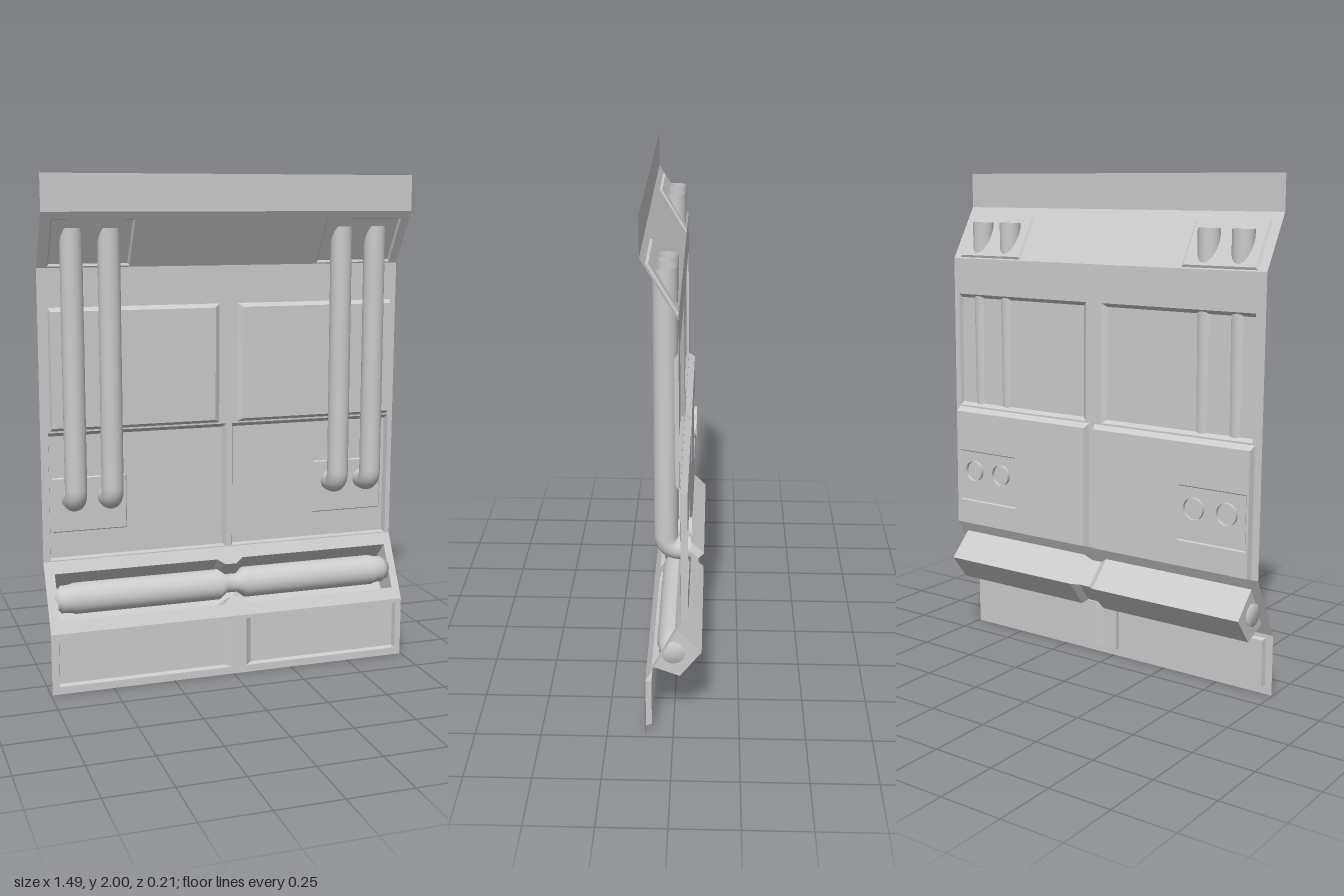
import * as THREE from 'three';

const sheetMat = new THREE.MeshStandardMaterial({ color: 0xcccccc, side: THREE.DoubleSide, flatShading: true });
const roundMat = new THREE.MeshStandardMaterial({ color: 0xcccccc, side: THREE.DoubleSide });

function add(parent, name, geometry, material = sheetMat) {
  const mesh = new THREE.Mesh(geometry, material);
  mesh.name = name;
  parent.add(mesh);
  return mesh;
}

// rectangle [x0, x1, y0, y1] as a corner loop
const corners = ([x0, x1, y0, y1]) => [[x0, y0], [x1, y0], [x1, y1], [x0, y1]];
const toPoints = (loop) => loop.map(([x, y]) => new THREE.Vector2(x, y));

// flat plate with polygonal holes
function plate(loop, holes = [], z = 0) {
  const shape = new THREE.Shape(toPoints(loop));
  holes.forEach((h) => shape.holes.push(new THREE.Path(toPoints(h))));
  return new THREE.ShapeGeometry(shape).translate(0, 0, z);
}

// skin between successive rows of 3D points
function loft(rows, closed) {
  const out = [];
  for (let i = 0; i + 1 < rows.length; i++) {
    const a = rows[i], b = rows[i + 1], n = a.length;
    for (let j = 0; j < (closed ? n : n - 1); j++) {
      const k = (j + 1) % n;
      out.push(...a[j], ...a[k], ...b[k], ...a[j], ...b[k], ...b[j]);
    }
  }
  const g = new THREE.BufferGeometry();
  g.setAttribute('position', new THREE.Float32BufferAttribute(out, 3));
  g.computeVertexNormals();
  return g;
}

// pressed panel: bevelled rim from rect at z0 to inner rect at z1, plus its floor
function pressed(parent, name, rect, inner, z0, z1, holes = []) {
  const group = new THREE.Group();
  group.name = name;
  const row = (r, z) => corners(r).map(([x, y]) => [x, y, z]);
  add(group, name + 'Rim', loft([row(rect, z0), row(inner, z1)], true));
  add(group, name + 'Floor', plate(corners(inner), holes, z1));
  parent.add(group);
}

// strip of the folded sheet from [y, z] to [y, z]; local y runs along it, local z faces forward
function strip(root, name, [y0, z0], [y1, z1], holes = []) {
  const group = new THREE.Group();
  group.name = name;
  group.position.set(0, y0, z0);
  group.rotation.x = Math.atan2(z1 - z0, y1 - y0);
  const length = Math.hypot(y1 - y0, z1 - z0);
  add(group, name + 'Sheet', plate(corners([-0.745, 0.745, 0, length]), holes));
  root.add(group);
  return group;
}

export function createModel() {
  const root = new THREE.Group();
  root.name = 'wallPanel';

  // bottom skirt with two recessed panels
  const low = [
    [[-0.715, -0.01, 0.03, 0.23], [-0.71, -0.035, 0.035, 0.225]],
    [[0.055, 0.72, 0.03, 0.23], [0.08, 0.715, 0.035, 0.225]],
  ];
  const skirt = strip(root, 'skirt', [0, 0.103], [0.245, 0.103], low.map(([r]) => corners(r)));
  low.forEach(([r, i]) => pressed(skirt, 'skirtPanel', r, i, 0, -0.022));

  // sloped strip with the necked roller opening: [x, neck?]
  const stations = [[-0.705, 0], [-0.035, 0], [-0.002, 1], [0.045, 1], [0.075, 0], [0.712, 0]];
  const sections = [
    [[0.05, 0], [0.064, -0.111], [0.194, -0.134], [0.237, 0]],
    [[0.08, 0], [0.082, -0.098], [0.18, -0.115], [0.214, 0]],
  ];
  const opening = [
    ...stations.map(([x, k]) => [x, sections[k][0][0]]),
    ...stations.map(([x, k]) => [x, sections[k][3][0]]).reverse(),
  ];
  const slope = strip(root, 'lowerSlope', [0.245, 0.103], [0.5, -0.03], [opening]);
  const rows = stations.map(([x, k]) => sections[k].map(([y, z]) => [x, y, z]));
  add(slope, 'rollerTrough', loft(rows, false));
  [rows[0], rows[5]].forEach(([a, b, c, d]) => add(slope, 'troughEnd', loft([[a, b], [d, c]], false)));

  // roller with tapered ends and a narrow neck
  const profile = [[0, -0.714], [0.045, -0.714], [0.045, -0.69], [0.054, -0.685], [0.056, -0.65], [0.062, -0.63],
    [0.062, -0.035], [0.038, -0.002], [0.038, 0.045], [0.062, 0.075],
    [0.062, 0.64], [0.056, 0.66], [0.054, 0.69], [0.045, 0.695], [0.045, 0.716], [0, 0.716]];
  const roller = add(root, 'roller', new THREE.LatheGeometry(toPoints(profile), 32), roundMat);
  roller.rotation.z = -Math.PI / 2;
  roller.position.set(0, 0.352, 0);

  // main wall: recessed middle panels, raised upper panels (heights measured from y = 0.5)
  const mid = [
    [[-0.715, 0.01, 0.004, 0.515], [-0.71, 0, 0.008, 0.498]],
    [[0.035, 0.725, 0.004, 0.515], [0.045, 0.72, 0.008, 0.498]],
  ];
  const high = [
    [[-0.705, -0.02, 0.522, 1.0], [-0.7, -0.04, 0.535, 0.985]],
    [[0.055, 0.72, 0.522, 1.0], [0.075, 0.715, 0.535, 0.985]],
  ];
  const pipePlates = [[-0.7, -0.4, 0.11, 0.33], [0.4, 0.705, 0.11, 0.33]];
  const wall = strip(root, 'wall', [0.5, -0.03], [1.65, -0.02], [...mid, ...high].map(([r]) => corners(r)));
  mid.forEach(([r, i], n) => {
    const p = pipePlates[n];
    pressed(wall, 'middlePanel', r, i, 0, -0.026, [corners(p)]);
    const inner = [p[0] + 0.004, p[1] - 0.004, p[2] + 0.004, p[3] - 0.004];
    pressed(wall, 'pipePlate', p, inner, -0.026, -0.021);
  });
  high.forEach(([r, i]) => pressed(wall, 'upperPanel', r, i, 0, 0.016));

  // upper slope with shallow pipe plates, and the top flange
  const tops = [[-0.705, -0.385, 0.006, 0.212], [0.39, 0.71, 0.006, 0.212]];
  const upper = strip(root, 'upperSlope', [1.65, -0.02], [1.86, 0.106], tops.map(corners));
  tops.forEach((r) => pressed(upper, 'topPlate', r, [r[0] + 0.007, r[1] - 0.007, r[2] + 0.006, r[3] - 0.006], 0, -0.008));
  strip(root, 'topFlange', [1.86, 0.106], [2, 0.106]);

  // vertical pipes, open at the top and bent into the wall at the bottom
  const path = new THREE.CurvePath();
  const v = (y, z) => new THREE.Vector3(0, y, z);
  path.add(new THREE.LineCurve3(v(1.8, 0.028), v(0.8, 0.028)));
  path.add(new THREE.QuadraticBezierCurve3(v(0.8, 0.028), v(0.745, 0.028), v(0.745, -0.025)));
  path.add(new THREE.LineCurve3(v(0.745, -0.025), v(0.745, -0.063)));
  const pipeGeometry = new THREE.TubeGeometry(path, 120, 0.043, 24, false);
  [-0.62, -0.475, 0.477, 0.622].forEach((x) => {
    add(root, 'pipe', pipeGeometry, roundMat).position.x = x;
  });

  return root;
}
